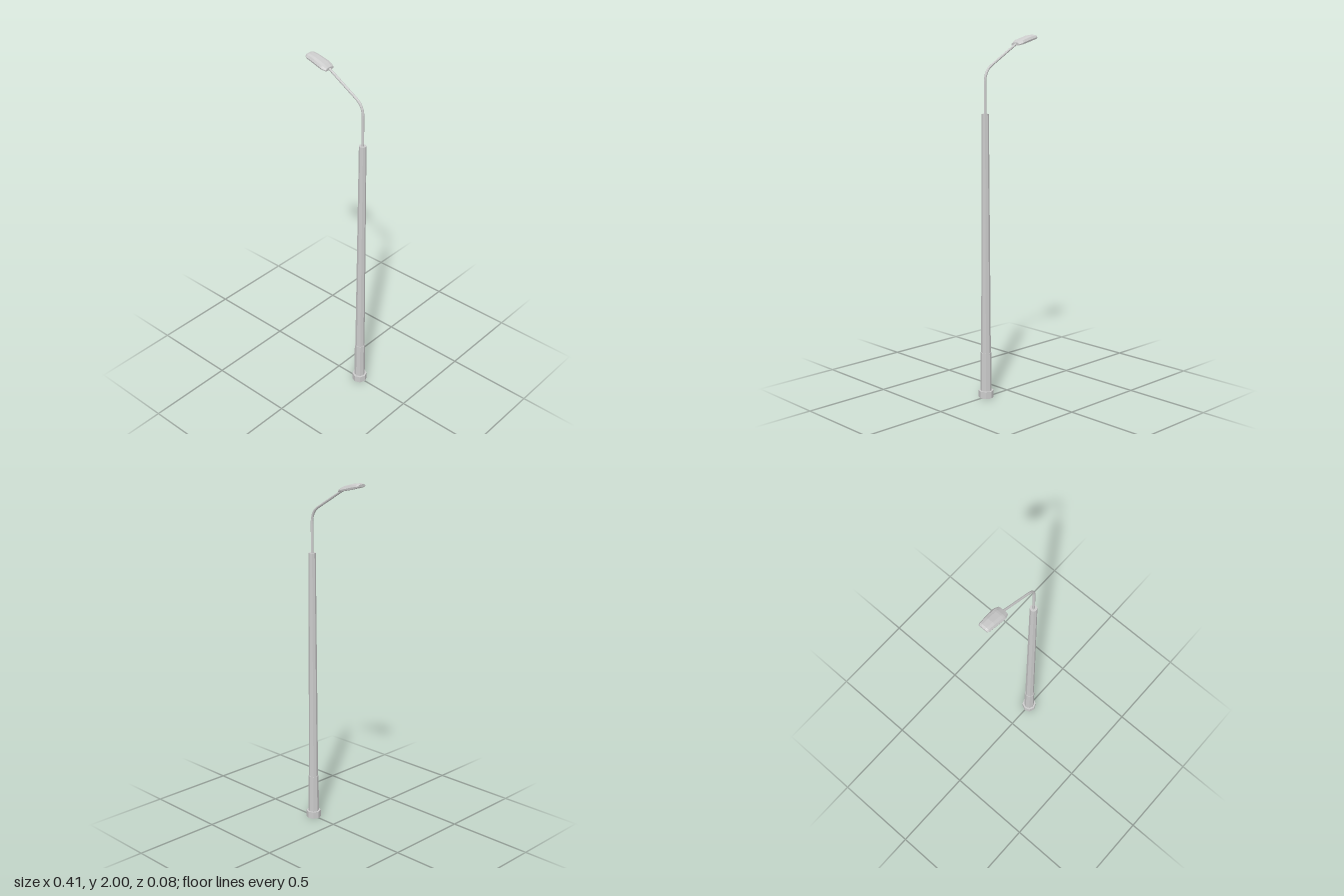
import * as THREE from 'three';

const POLE_X = 0.163;
const material = new THREE.MeshStandardMaterial({ color: 0xcccccc, flatShading: true, side: THREE.DoubleSide });

function addPart(group, name, geometry) {
  const mesh = new THREE.Mesh(geometry, material);
  mesh.name = name;
  group.add(mesh);
  return mesh;
}

// Revolves [radius, y] pairs into an octagonal part
function octagon(points) {
  return new THREE.LatheGeometry(points.map(([r, y]) => new THREE.Vector2(r, y)), 8);
}

// Joins closed cross-sections with the same point count and caps both ends
function loft(rings) {
  const n = rings[0].length, last = rings.length - 1;
  const positions = rings.flat(2), index = [];
  for (let s = 0; s < last; s++) {
    for (let i = 0; i < n; i++) {
      const a = s * n + i, b = s * n + (i + 1) % n;
      index.push(a, b, a + n, b, b + n, a + n);
    }
  }
  for (let i = 1; i < n - 1; i++) {
    index.push(0, i + 1, i);
    index.push(last * n, last * n + i, last * n + i + 1);
  }
  const geometry = new THREE.BufferGeometry();
  geometry.setAttribute('position', new THREE.Float32BufferAttribute(positions, 3));
  geometry.setIndex(index);
  geometry.computeVertexNormals();
  return geometry;
}

// Lamp section: domed top, flat rim and a recess of the given depth underneath
function headRing([x, w, bottom, top, recess]) {
  const h = top - bottom;
  const half = [
    [0.66, bottom + recess], [0.74, bottom], [0.94, bottom],
    [1, bottom + 0.35 * h], [0.8, bottom + 0.82 * h], [0.4, top],
  ];
  const right = half.map(([k, y]) => [x, y, k * w]);
  const left = half.map(([k, y]) => [x, y, -k * w]).reverse();
  return [...right, ...left];
}

export function createModel() {
  const model = new THREE.Group();
  model.name = 'streetLamp';

  // Octagonal foot, sleeve and tapering pole
  addPart(model, 'foot', octagon([[0.042, 0], [0.042, 0.04], [0.031, 0.04]])).position.x = POLE_X;
  addPart(model, 'sleeve', octagon([[0.031, 0.04], [0.03, 0.26], [0.026, 0.26]])).position.x = POLE_X;
  addPart(model, 'pole', octagon([[0.027, 0.26], [0.02, 1.585], [0, 1.585]])).position.x = POLE_X;

  // Bent arm: straight riser, rounded elbow, sloping reach
  const path = new THREE.CurvePath();
  const v = (x, y) => new THREE.Vector3(x, y, 0);
  path.add(new THREE.LineCurve3(v(POLE_X, 1.57), v(POLE_X, 1.75)));
  path.add(new THREE.QuadraticBezierCurve3(v(POLE_X, 1.75), v(POLE_X, 1.815), v(0.115, 1.842)));
  path.add(new THREE.LineCurve3(v(0.115, 1.842), v(-0.075, 1.955)));
  addPart(model, 'arm', new THREE.TubeGeometry(path, 32, 0.007, 8));

  // Lamp head: x, half width, bottom, top, recess depth
  const sections = [
    [-0.207, 0.027, 1.983, 1.997, 0],
    [-0.195, 0.033, 1.978, 2.0, 0],
    [-0.185, 0.0335, 1.975, 1.999, 0.006],
    [-0.155, 0.0355, 1.967, 1.995, 0.008],
    [-0.1, 0.039, 1.953, 1.979, 0.006],
    [-0.088, 0.0395, 1.95, 1.974, 0],
    [-0.063, 0.03, 1.944, 1.959, 0],
  ];
  addPart(model, 'lampHead', loft(sections.map(headRing)));

  return model;
}
